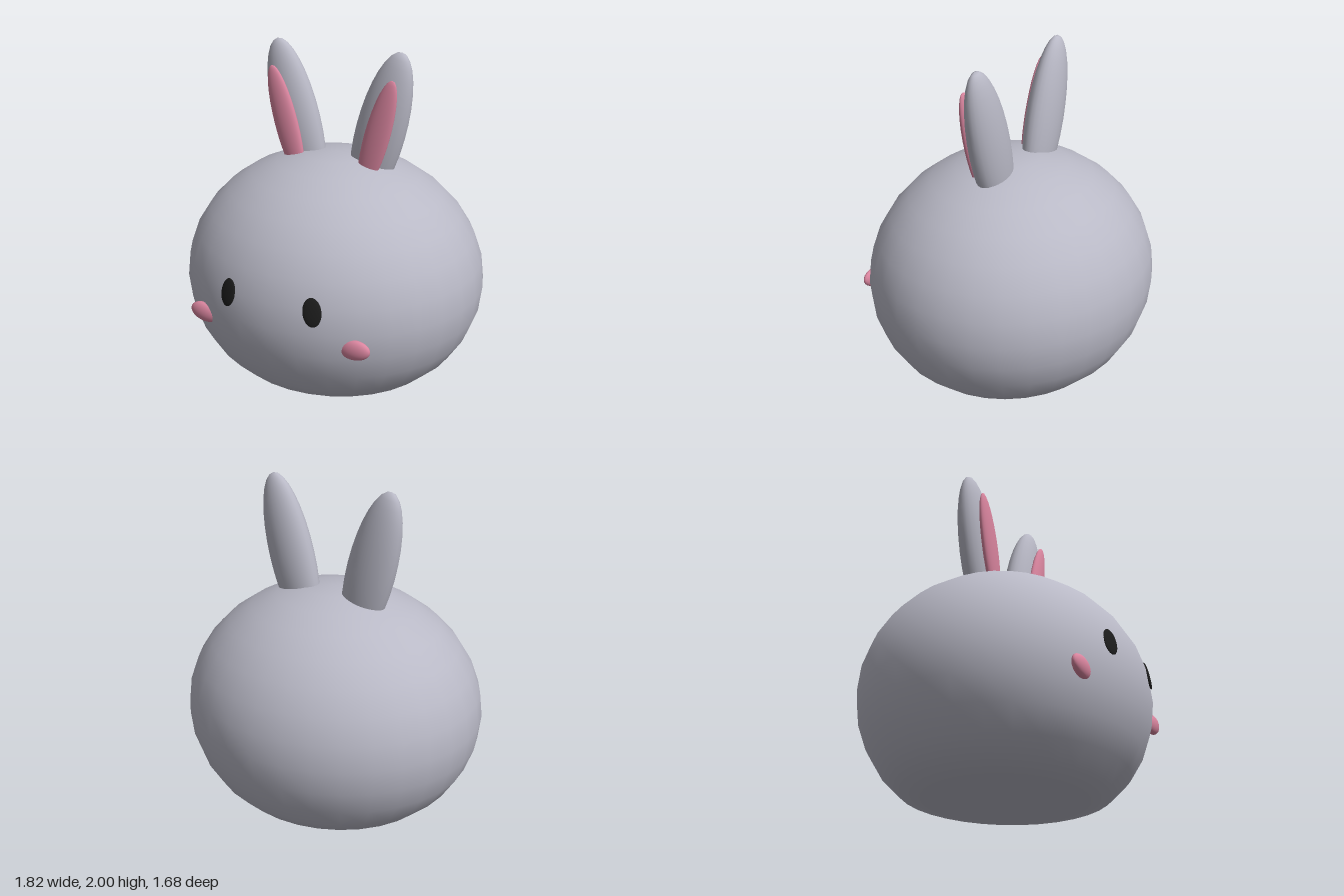
import * as THREE from 'three';
import { mergeVertices } from 'three/addons/utils/BufferGeometryUtils.js';

const material = (name, color) => {
  const m = new THREE.MeshStandardMaterial({ color });
  m.name = name;
  return m;
};

// Smooth ellipsoid mesh, the building block of every part
function ellipsoid(name, mat, radii, position, segments = [24, 16]) {
  const geometry = new THREE.SphereGeometry(1, ...segments).scale(...radii);
  const mesh = new THREE.Mesh(geometry, mat);
  mesh.name = name;
  mesh.position.set(...position);
  return mesh;
}

// Round body whose underside is pressed nearly flat
function makeBody(mat) {
  const body = ellipsoid('body', mat, [0.912, 0.765, 0.842], [0, 0, 0], [32, 16]);
  let g = body.geometry.translate(0, 0.61, 0);
  const p = g.attributes.position;
  const floor = 0.085;
  for (let i = 0; i < p.count; i++) {
    const y = p.getY(i);
    if (y < floor) p.setY(i, floor + (y - floor) * 0.35);
  }
  g.deleteAttribute('uv');
  g.deleteAttribute('normal');
  g = mergeVertices(g, 1e-4);
  g.computeVertexNormals();
  body.geometry = g;
  return body;
}

export function createModel() {
  const fur = material('grey fur', 0xb9b9c6);
  const pink = material('pink', 0xdb86a0);
  const black = material('black', 0x1c1c1c);

  const model = new THREE.Group();
  model.name = 'bunny';
  model.add(makeBody(fur));

  for (const [side, s] of [['left', 1], ['right', -1]]) {
    // Ear leaning outward, with a pink inner ear on its front
    const ear = ellipsoid(side + 'Ear', fur, [0.15, 0.494, 0.094], [s * 0.272, 1.52, -0.04]);
    ear.rotation.z = -s * 0.255;
    const inner = ellipsoid(side + 'InnerEar', pink, [0.077, 0.351, 0.034], [s * 0.293, 1.52, 0.055]);
    inner.rotation.z = -s * 0.265;

    // Flat eye lying on the curve of the face
    const eye = ellipsoid(side + 'Eye', black, [0.053, 0.083, 0.012], [s * 0.265, 0.745, 0.787]);
    eye.lookAt(s * 0.265 + s * 0.319, 0.745 + 0.23, 0.787 + 1.12);
    eye.rotateZ(s * 0.1);

    // Cheek half sunk into the face
    const cheek = ellipsoid(side + 'Cheek', pink, [0.095, 0.06, 0.033], [s * 0.481, 0.533, 0.71]);
    cheek.rotation.z = s * 0.12;

    model.add(ear, inner, eye, cheek);
  }
  return model;
}
